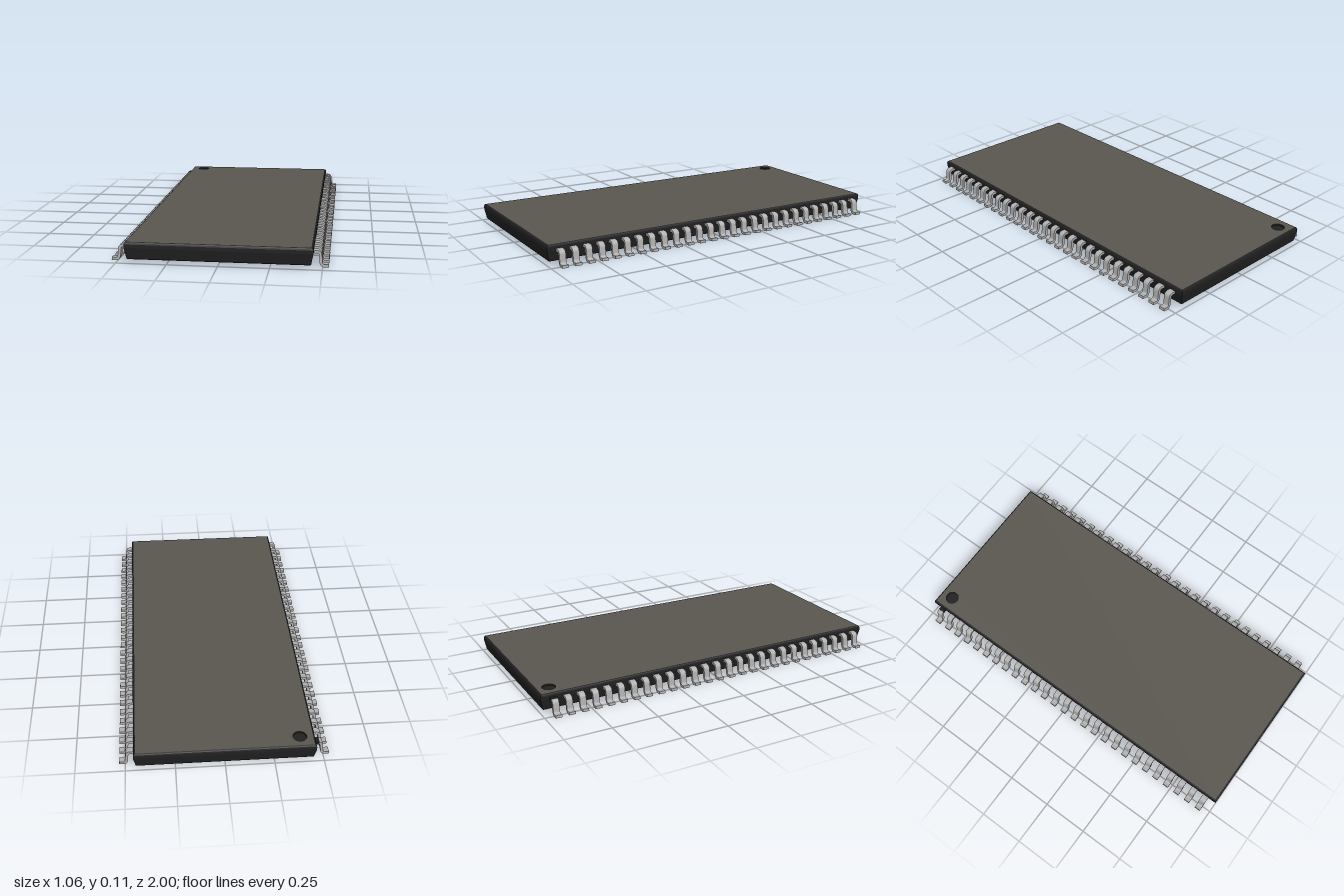
import * as THREE from 'three';

const mat = (name, color) => {
  const m = new THREE.MeshStandardMaterial({ color });
  m.name = name;
  return m;
};

const LEADS = 27, PITCH = 0.072, LEAD_WIDTH = 0.034, THICK = 0.0145;
const DIMPLE = { x: -0.38, z: -0.927, r: 0.035, depth: 0.009 };
const TOP = 0.108, BOTTOM = 0.018;

// Rectangular rings from bottom to top: [half width, half length, y]
const RINGS = [
  [0.437, 0.98, BOTTOM], [0.443, 0.986, 0.0195], [0.447, 0.99, 0.025],
  [0.457, 1, 0.078], [0.457, 1, 0.096], [0.455, 0.998, 0.102],
  [0.452, 0.995, 0.106], [0.447, 0.99, TOP],
];

// Tapered walls and underside, joined from the rings
function bodyGeometry() {
  const pos = [];
  const corners = ([w, l, y]) => [[w, y, l], [w, y, -l], [-w, y, -l], [-w, y, l]];
  const quad = (a, b, c, d) => pos.push(...a, ...b, ...c, ...a, ...c, ...d);
  for (let i = 0; i < RINGS.length - 1; i++) {
    const lo = corners(RINGS[i]), hi = corners(RINGS[i + 1]);
    for (let k = 0; k < 4; k++) {
      const n = (k + 1) % 4;
      quad(lo[k], lo[n], hi[n], hi[k]);
    }
  }
  const [a, b, c, d] = corners(RINGS[0]);
  quad(d, c, b, a);
  const g = new THREE.BufferGeometry();
  g.setAttribute('position', new THREE.Float32BufferAttribute(pos, 3));
  g.computeVertexNormals();
  return g;
}

// Top face with a round opening for the dimple
function topGeometry() {
  const [w, l] = RINGS[RINGS.length - 1];
  const s = new THREE.Shape();
  s.moveTo(-w, -l).lineTo(w, -l).lineTo(w, l).lineTo(-w, l).closePath();
  const hole = new THREE.Path();
  hole.absarc(DIMPLE.x, -DIMPLE.z, DIMPLE.r, 0, Math.PI * 2, true);
  s.holes.push(hole);
  return new THREE.ShapeGeometry(s, 12).rotateX(-Math.PI / 2).translate(0, TOP, 0);
}

// Gull-wing lead: centre line thickened to both sides, then extruded along z
function leadGeometry() {
  const path = new THREE.Path();
  path.moveTo(0.448, 0.078).lineTo(0.472, 0.078);
  path.quadraticCurveTo(0.489, 0.077, 0.4895, 0.06);
  path.lineTo(0.4925, 0.028);
  path.quadraticCurveTo(0.494, 0.0085, 0.512, 0.0085);
  path.lineTo(0.53, 0.01);
  const pts = path.getPoints(6);
  const upper = [], lower = [];
  pts.forEach((p, i) => {
    const t = pts[Math.min(i + 1, pts.length - 1)].clone()
      .sub(pts[Math.max(i - 1, 0)]).normalize();
    const n = new THREE.Vector2(-t.y, t.x).multiplyScalar(THICK / 2);
    upper.push(p.clone().add(n));
    lower.push(p.clone().sub(n));
  });
  const shape = new THREE.Shape([...lower, ...upper.reverse()]);
  return new THREE.ExtrudeGeometry(shape, { depth: LEAD_WIDTH, bevelEnabled: false })
    .translate(0, 0, -LEAD_WIDTH / 2);
}

export function createModel() {
  const black = mat('black plastic', 0x212121);
  const brown = mat('brown grey top', 0x5b5750);
  const metal = mat('lead metal', 0xb2b2b2);

  const group = new THREE.Group();
  group.name = 'chipPackage';
  const add = (name, geo, material, parent = group) => {
    const m = new THREE.Mesh(geo, material);
    m.name = name;
    parent.add(m);
    return m;
  };

  add('body', bodyGeometry(), black);
  add('topFace', topGeometry(), brown);

  // Recessed orientation dimple: inner wall and floor
  const dimple = new THREE.Group();
  dimple.name = 'orientationDimple';
  dimple.position.set(DIMPLE.x, TOP - DIMPLE.depth, DIMPLE.z);
  group.add(dimple);
  const wall = new THREE.CylinderGeometry(DIMPLE.r, DIMPLE.r, DIMPLE.depth, 24, 1, true);
  wall.scale(-1, 1, 1).translate(0, DIMPLE.depth / 2, 0);
  wall.computeVertexNormals();
  add('dimpleWall', wall, black, dimple);
  add('dimpleFloor', new THREE.CircleGeometry(DIMPLE.r, 24).rotateX(-Math.PI / 2), black, dimple);

  // Two mirrored rows of leads
  const lead = leadGeometry();
  for (const side of [1, -1]) {
    const row = new THREE.Group();
    row.name = side > 0 ? 'leftLeads' : 'rightLeads';
    row.rotation.y = side > 0 ? 0 : Math.PI;
    group.add(row);
    for (let i = 0; i < LEADS; i++) {
      add('lead', lead, metal, row).position.z = (i - (LEADS - 1) / 2) * PITCH;
    }
  }

  // Dark marker over the shoulder of the first lead
  const marker = add('firstLeadMarker', new THREE.BoxGeometry(0.024, 0.016, LEAD_WIDTH + 0.001), black);
  marker.position.set(-0.465, 0.0785, -PITCH * (LEADS - 1) / 2);

  return group;
}
